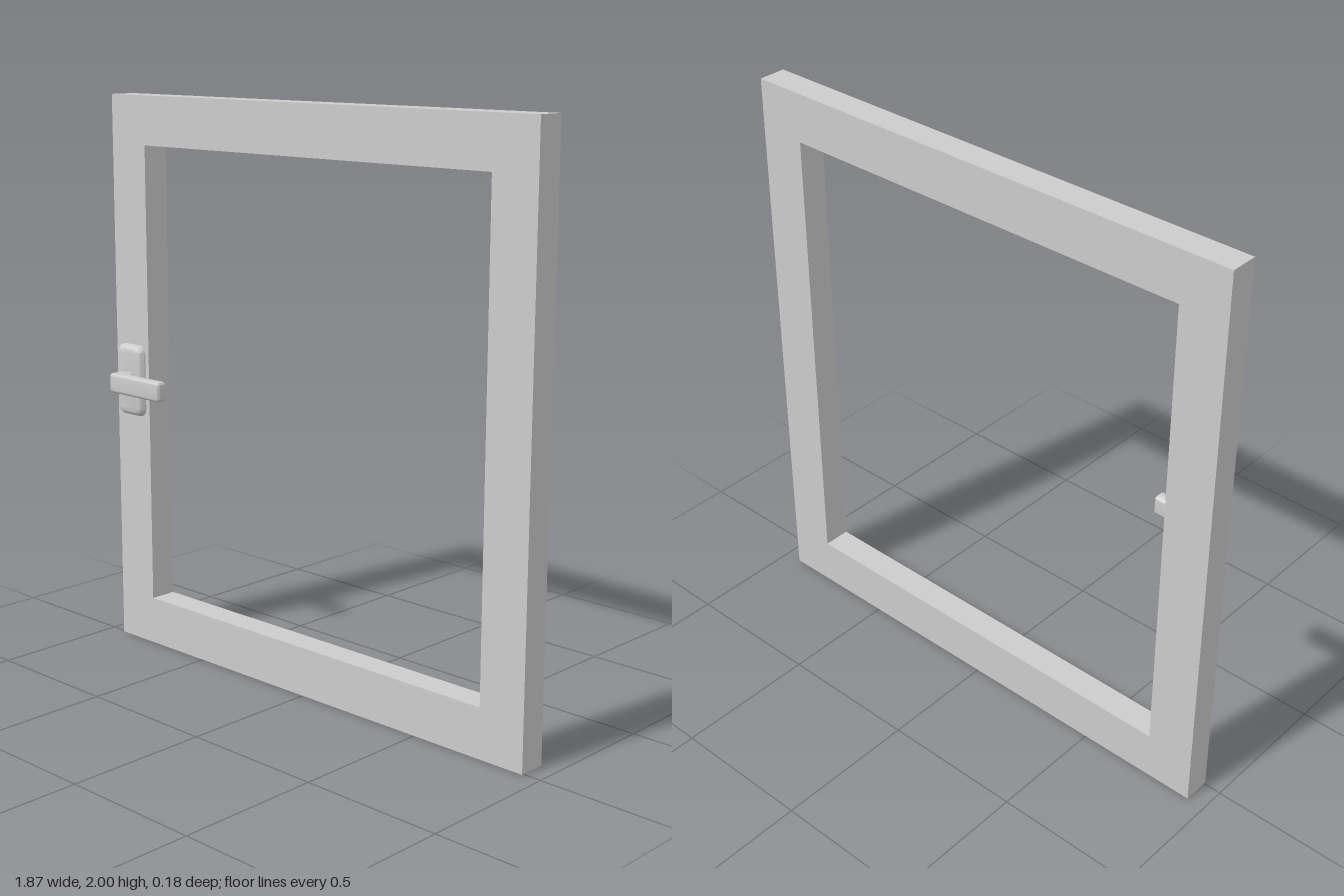
import * as THREE from 'three';
import { toCreasedNormals } from 'three/addons/utils/BufferGeometryUtils.js';

const material = new THREE.MeshStandardMaterial({ color: 0xcccccc });
const BACK = -0.091, FACE = 0.007;

// Rectangle between two corners, with optional rounded corners
function rect(path, x0, y0, x1, y1, r = 0) {
  path.moveTo(x0 + r, y0);
  path.lineTo(x1 - r, y0);
  if (r) path.absarc(x1 - r, y0 + r, r, -Math.PI / 2, 0);
  path.lineTo(x1, y1 - r);
  if (r) path.absarc(x1 - r, y1 - r, r, 0, Math.PI / 2);
  path.lineTo(x0 + r, y1);
  if (r) path.absarc(x0 + r, y1 - r, r, Math.PI / 2, Math.PI);
  path.lineTo(x0, y0 + r);
  if (r) path.absarc(x0 + r, y0 + r, r, Math.PI, Math.PI * 1.5);
  return path;
}

// Extrusion of given total depth whose rounded edges stay inside the outline
function rounded(shape, depth, bevel) {
  const geometry = new THREE.ExtrudeGeometry(shape, {
    depth: depth - 2 * bevel, bevelEnabled: true, bevelSize: bevel,
    bevelThickness: bevel, bevelOffset: -bevel, bevelSegments: 5, curveSegments: 8,
  });
  geometry.translate(0, 0, bevel);
  return toCreasedNormals(geometry, 0.7);
}

function mesh(name, geometry) {
  const m = new THREE.Mesh(geometry, material);
  m.name = name;
  return m;
}

export function createModel() {
  const group = new THREE.Group();
  group.name = 'window';

  // Square-edged sash frame with an open middle
  const outline = rect(new THREE.Shape(), -0.935, 0, 0.935, 2);
  outline.holes.push(rect(new THREE.Path(), -0.765, 0.172, 0.765, 1.828));
  const frame = mesh('frame', new THREE.ExtrudeGeometry(outline, { depth: FACE - BACK, bevelEnabled: false }));
  frame.position.z = BACK;
  group.add(frame);

  const handle = new THREE.Group();
  handle.name = 'handle';
  group.add(handle);

  // Backplate, its rear edge sunk into the frame
  const plate = mesh('handlePlate', rounded(rect(new THREE.Shape(), -0.918, 0.853, -0.783, 1.113, 0.032), 0.058, 0.026));
  plate.position.z = -0.025;
  handle.add(plate);

  // Neck and lever: an L outline in plan, extruded over the lever's height
  const lever = new THREE.Shape();
  lever.moveTo(-0.887, 0.015);
  lever.lineTo(-0.815, 0.015);
  lever.lineTo(-0.815, 0.035);
  lever.quadraticCurveTo(-0.813, 0.05, -0.795, 0.05);
  lever.lineTo(-0.633, 0.05);
  lever.quadraticCurveTo(-0.623, 0.05, -0.623, 0.06);
  lever.lineTo(-0.623, 0.079);
  lever.quadraticCurveTo(-0.623, 0.091, -0.635, 0.091);
  lever.lineTo(-0.873, 0.091);
  lever.quadraticCurveTo(-0.887, 0.091, -0.887, 0.077);
  lever.closePath();
  const leverGeometry = rounded(lever, 0.072, 0.012);
  leverGeometry.rotateX(Math.PI / 2);
  const leverMesh = mesh('handleLever', leverGeometry);
  leverMesh.position.y = 1.014;
  handle.add(leverMesh);

  return group;
}
